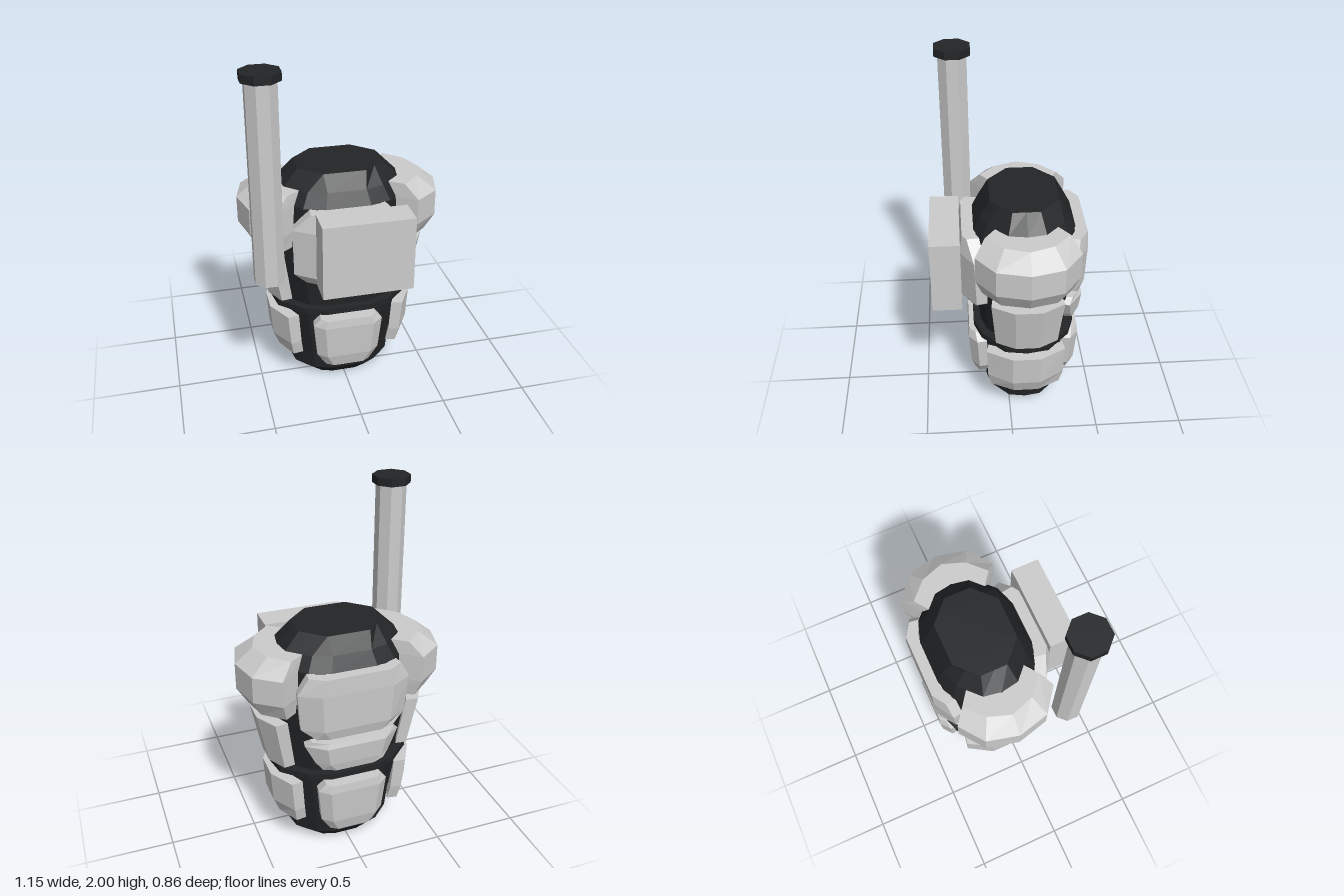
import * as THREE from 'three';

const grey = new THREE.MeshStandardMaterial({ color: 0xcccccc, flatShading: true });
const dark = new THREE.MeshStandardMaterial({ color: 0x222426, flatShading: true });
const CENTRE_Z = -0.09;

// Skin through equal-length rings (bottom to top), closed with strip caps.
function loft(rings) {
  const m = rings[0].length, pos = rings.flat(2), idx = [];
  const last = (rings.length - 1) * m;
  for (let r = 0; r < rings.length - 1; r++) {
    for (let i = 0; i < m; i++) {
      const a = r * m + i, b = r * m + (i + 1) % m;
      idx.push(a, b, b + m, a, b + m, a + m);
    }
  }
  for (let i = 0; i < m / 2 - 1; i++) {
    const a = i, b = i + 1, c = m - 2 - i, d = m - 1 - i;
    idx.push(a, c, b, a, d, c);
    idx.push(last + a, last + b, last + c, last + a, last + c, last + d);
  }
  const g = new THREE.BufferGeometry();
  g.setAttribute('position', new THREE.Float32BufferAttribute(pos, 3));
  g.setIndex(idx);
  const flat = g.toNonIndexed();
  flat.computeVertexNormals();
  return flat;
}

function add(group, name, geometry, material, x = 0, y = 0, z = 0) {
  const mesh = new THREE.Mesh(geometry, material);
  mesh.name = name;
  mesh.position.set(x, y, z);
  group.add(mesh);
  return mesh;
}

// Faceted oval quadrant, from the side round to the front.
const OVAL = [[1, 0], [0.95, 0.42], [0.62, 0.86], [0.32, 1]];
const OCTAGON = [[1, 0], [1, 0.4], [0.75, 0.7], [0.5, 1]];

function ovalRing(y, halfWidth, halfDepth, q = OVAL) {
  const front = [...q.map(([x, z]) => [-x, z]), ...[...q].reverse()];
  const back = front.slice(1, -1).reverse().map(([x, z]) => [x, -z]);
  return [...front, ...back].map(([x, z]) => [x * halfWidth, y, z * halfDepth]);
}

// Wrapped armour plate. Each row is [y, [u, d], ...] from its end to its middle,
// u along the body and d outward; the inner face is the outer one scaled in.
function plate(rows, ku, kd) {
  return loft(rows.map(([y, ...half]) => {
    const right = [...half].reverse().filter(([u]) => u > 0);
    const outer = [...half.map(([u, d]) => [-u, d]), ...right];
    const inner = [...outer].reverse().map(([u, d]) => [u * ku, d * kd]);
    return [...outer, ...inner].map(([u, d]) => [u, y, d]);
  }));
}

export function createModel() {
  const model = new THREE.Group();
  model.name = 'armouredTorso';

  // Dark core and waist belt
  add(model, 'lowerBody', loft([
    ovalRing(0, 0.22, 0.165), ovalRing(0.07, 0.3, 0.22),
    ovalRing(0.2, 0.315, 0.23), ovalRing(0.51, 0.37, 0.25),
  ]), dark, 0, 0, CENTRE_Z);
  add(model, 'belt', loft([ovalRing(0.51, 0.405, 0.292), ovalRing(0.545, 0.405, 0.292)]),
    dark, 0, 0, CENTRE_Z);
  add(model, 'upperBody', loft([
    ovalRing(0.54, 0.35, 0.25), ovalRing(0.8, 0.395, 0.27), ovalRing(0.95, 0.41, 0.285),
    ovalRing(1.18, 0.395, 0.28), ovalRing(1.26, 0.34, 0.24), ovalRing(1.35, 0.24, 0.188, OCTAGON),
  ]), dark, 0, 0, CENTRE_Z);

  // Plates on the front and back
  const hip = plate([
    [0.14, [0.13, 0.265], [0.09, 0.29]],
    [0.22, [0.185, 0.265], [0.13, 0.31]],
    [0.43, [0.205, 0.275], [0.145, 0.325]],
    [0.48, [0.165, 0.285], [0.13, 0.32]],
  ], 0.95, 0.76);
  const chest = plate([
    [0.74, [0.24, 0.28], [0.17, 0.325]],
    [0.8, [0.31, 0.275], [0.2, 0.355]],
    [1.08, [0.315, 0.285], [0.2, 0.36]],
    [1.18, [0.22, 0.32], [0.18, 0.345]],
  ], 0.96, 0.78);
  const upperBack = plate([
    [0.8, [0.22, 0.3], [0.15, 0.32]],
    [0.86, [0.3, 0.265], [0.19, 0.335]],
    [1.08, [0.318, 0.275], [0.2, 0.343]],
    [1.18, [0.26, 0.29], [0.18, 0.34]],
  ], 0.97, 0.8);
  const lowerBack = plate([
    [0.58, [0.18, 0.28], [0.11, 0.31]],
    [0.63, [0.22, 0.265], [0.15, 0.32]],
    [0.74, [0.275, 0.25], [0.17, 0.33]],
    [0.77, [0.24, 0.27], [0.16, 0.32]],
  ], 0.96, 0.78);

  const frontPlates = new THREE.Group();
  frontPlates.name = 'frontPlates';
  add(frontPlates, 'frontHipPlate', hip, grey);
  add(frontPlates, 'chestPlate', chest, grey);
  const backPlates = new THREE.Group();
  backPlates.name = 'backPlates';
  add(backPlates, 'backHipPlate', hip, grey);
  add(backPlates, 'lowerBackPlate', lowerBack, grey);
  add(backPlates, 'upperBackPlate', upperBack, grey);
  backPlates.rotation.y = Math.PI;

  // Side plates and shoulders, mirrored
  const sideHip = plate([
    [0.2, [0.2, 0.315], [0.07, 0.38]],
    [0.29, [0.22, 0.33], [0.08, 0.415]],
    [0.48, [0.225, 0.345], [0.08, 0.427]],
  ], 0.95, 0.81);
  const rib = plate([
    [0.57, [0.175, 0.37], [0.065, 0.43]],
    [0.87, [0.2, 0.42], [0.075, 0.49]],
  ], 0.95, 0.83);
  const shoulder = plate([
    [0.93, [0.245, 0.37], [0.15, 0.48], [0, 0.515]],
    [1.03, [0.282, 0.395], [0.18, 0.53], [0, 0.575]],
    [1.18, [0.282, 0.395], [0.18, 0.53], [0, 0.575]],
    [1.26, [0.225, 0.33], [0.13, 0.43], [0, 0.475]],
  ], 0.7, 0.72);
  for (const [side, sign] of [['left', 1], ['right', -1]]) {
    const group = new THREE.Group();
    group.name = side + 'Plates';
    add(group, side + 'HipPlate', sideHip, grey);
    add(group, side + 'RibPlate', rib, grey);
    add(group, side + 'Shoulder', shoulder, grey);
    group.rotation.y = sign * Math.PI / 2;
    group.position.z = CENTRE_Z;
    model.add(group);
  }
  for (const group of [frontPlates, backPlates]) {
    group.position.z = CENTRE_Z;
    model.add(group);
  }

  // Box pack and upright pipe with its cap
  add(model, 'pack', new THREE.BoxGeometry(0.505, 0.43, 0.165), grey, 0.053, 0.985, 0.348);
  const octagon = (apothem, height) => {
    const r = apothem / Math.cos(Math.PI / 8);
    return new THREE.CylinderGeometry(r, r, height, 8).rotateY(Math.PI / 8);
  };
  add(model, 'pipe', octagon(0.08, 1.12), grey, -0.46, 1.4, 0.27);
  add(model, 'pipeCap', octagon(0.1, 0.045), dark, -0.46, 1.9775, 0.27);

  return model;
}
